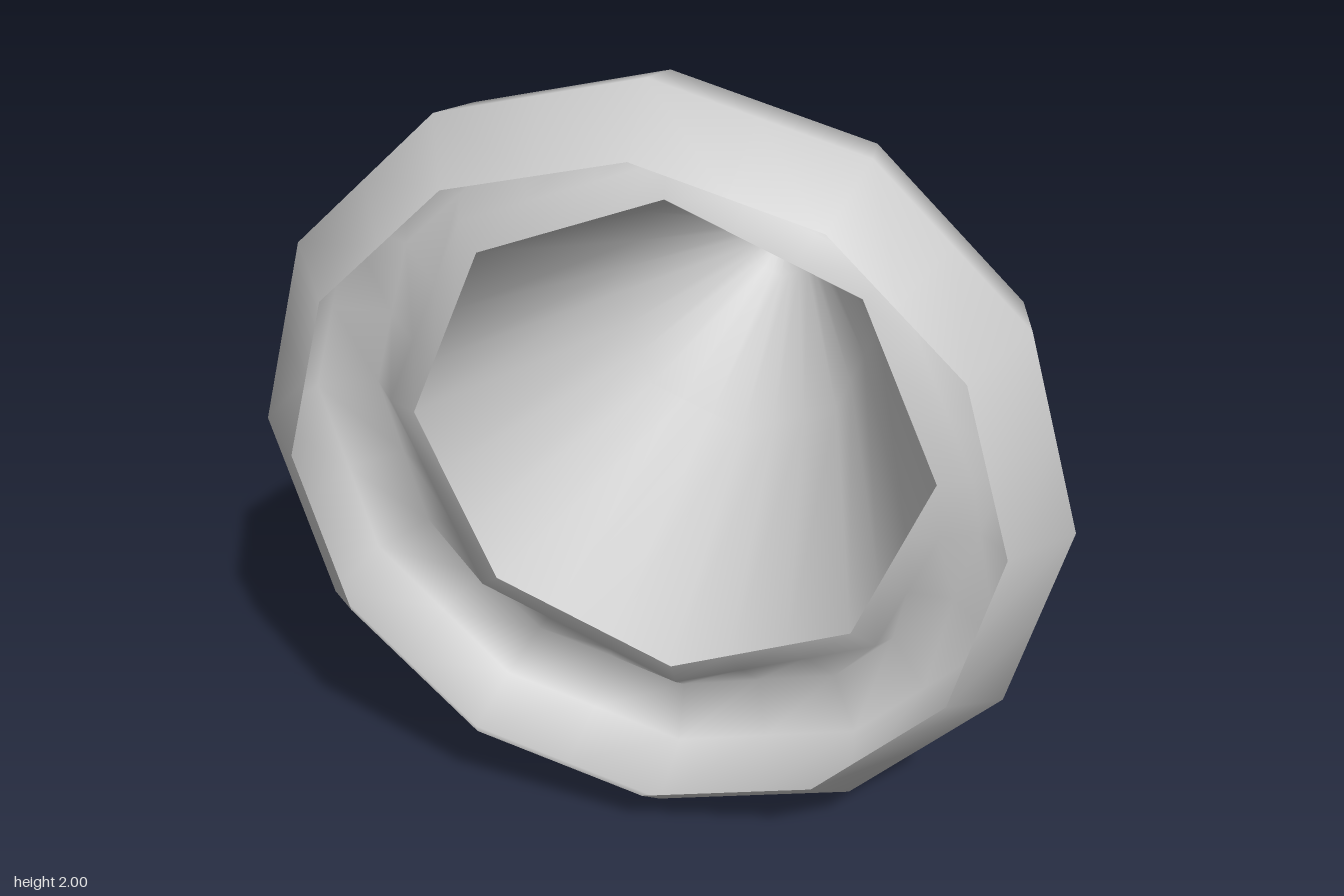
import * as THREE from 'three';

// Profile rings from tip to rim: [radius, z, number of sides]
const CONE = [[0, -0.77, 8], [0.11, -0.69, 8], [0.375, -0.24, 8], [0.66, 0.5, 8]];
const BRIM = [[0.66, 0.5, 8], [0.74, 0.46, 8], [0.81, 0.375, 12], [0.95, 0.435, 12], [1, 0.62, 12], [0.866, 0.77, 12]];
const STEPS = 24; // holds the corners of both 8- and 12-sided rings

// Distance to the edge of a regular polygon at a given angle
function polygonRadius(r, sides, angle) {
  const half = Math.PI / sides;
  const local = angle % (2 * half);
  return r * Math.cos(half) / Math.cos(local - half);
}

// Slope normal of the profile at ring i, averaged over its neighbours
function profileNormal(rings, i) {
  const n = new THREE.Vector2();
  for (const k of [i - 1, i]) {
    if (k < 0 || k + 1 >= rings.length) continue;
    const dr = rings[k + 1][0] - rings[k][0];
    const dz = rings[k + 1][1] - rings[k][1];
    n.add(new THREE.Vector2(dz, -dr).normalize());
  }
  return n.normalize();
}

// Skin a series of polygon rings around the z axis with smooth shading
function loft(rings) {
  const positions = [], normals = [], index = [];
  rings.forEach(([r, z, sides], i) => {
    const n = profileNormal(rings, i);
    for (let j = 0; j <= STEPS; j++) {
      const a = (j / STEPS) * Math.PI * 2;
      const c = Math.cos(a), s = Math.sin(a);
      const d = polygonRadius(r, sides, a + 1e-9);
      positions.push(d * c, d * s, z);
      normals.push(n.x * c, n.x * s, n.y);
      if (i + 1 < rings.length && j < STEPS) {
        const p = i * (STEPS + 1) + j, q = p + STEPS + 1;
        if (r > 0) index.push(p, p + 1, q);
        index.push(p + 1, q + 1, q);
      }
    }
  });
  const geometry = new THREE.BufferGeometry();
  geometry.setAttribute('position', new THREE.Float32BufferAttribute(positions, 3));
  geometry.setAttribute('normal', new THREE.Float32BufferAttribute(normals, 3));
  geometry.setIndex(index);
  return geometry;
}

export function createModel() {
  const group = new THREE.Group();
  const material = new THREE.MeshStandardMaterial({ color: 0xcccccc, side: THREE.DoubleSide });
  // Hollow pointed cone, and the curled open brim around its mouth
  for (const [name, rings] of [['hollowCone', CONE], ['curledBrim', BRIM]]) {
    const mesh = new THREE.Mesh(loft(rings), material);
    mesh.name = name;
    mesh.position.y = 1;
    group.add(mesh);
  }
  return group;
}
